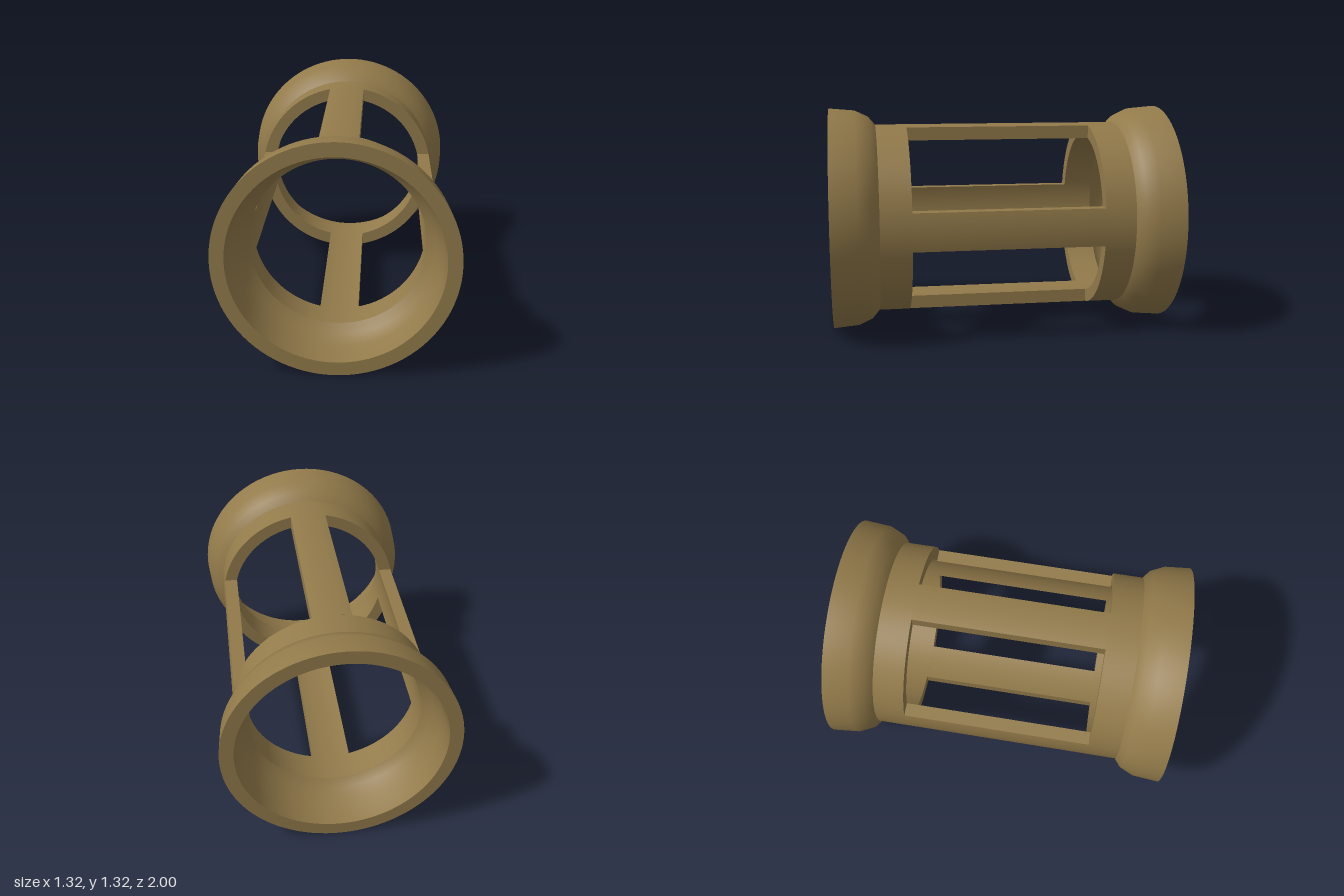
import * as THREE from 'three';
import { mergeGeometries, toCreasedNormals } from 'three/addons/utils/BufferGeometryUtils.js';

const OUTER = 0.56, INNER = 0.485, AXIS_Y = 0.659;
const WINDOW_Z = 0.55, BAR_HALF = 0.11;

// Each run of [radius, z] points is one smooth surface; edges between runs stay sharp.
const COLLAR_RUNS = [
  [[OUTER, WINDOW_Z], [OUTER, 0.73]],                              // outer tube
  [[OUTER, 0.73], [0.608, 0.77], [0.645, 0.85], [0.658, 1]],       // outer flare
  [[0.658, 1], [0.58, 1]],                                         // lip
  [[0.58, 1], [0.568, 0.85], [0.532, 0.77], [INNER, 0.73]],        // inner flare
  [[INNER, 0.73], [INNER, WINDOW_Z]],                              // inner tube
  [[INNER, WINDOW_Z], [OUTER, WINDOW_Z]],                          // window end face
];

function collarGeometry() {
  const runs = COLLAR_RUNS.map(run =>
    new THREE.LatheGeometry(run.map(([r, z]) => new THREE.Vector2(r, z)), 96));
  return mergeGeometries(runs).rotateX(Math.PI / 2);
}

// Parallel-sided strip of the tube wall, at the top of the tube.
function barGeometry() {
  const a = Math.asin(BAR_HALF / OUTER), b = Math.asin(BAR_HALF / INNER), up = Math.PI / 2;
  const shape = new THREE.Shape();
  shape.absarc(0, 0, OUTER, up - a, up + a, false);
  shape.absarc(0, 0, INNER, up + b, up - b, true);
  shape.closePath();
  const geometry = new THREE.ExtrudeGeometry(shape, {
    depth: 2 * WINDOW_Z, bevelEnabled: false, curveSegments: 8,
  });
  return toCreasedNormals(geometry.translate(0, 0, -WINDOW_Z), 0.5);
}

export function createModel() {
  const model = new THREE.Group();
  model.name = 'slottedSleeve';
  const bronze = new THREE.MeshStandardMaterial({ color: 0x927a4a });
  bronze.name = 'bronze';

  const add = (name, geometry) => {
    const mesh = new THREE.Mesh(geometry, bronze);
    mesh.name = name;
    mesh.position.y = AXIS_Y;
    model.add(mesh);
    return mesh;
  };

  // Flared collars at both ends
  const collar = collarGeometry();
  add('frontCollar', collar);
  add('backCollar', collar).rotation.y = Math.PI;

  // Four bars leaving the windows between them
  const bar = barGeometry();
  ['topBar', 'leftBar', 'bottomBar', 'rightBar'].forEach((name, i) => {
    add(name, bar).rotation.z = -i * Math.PI / 2;
  });

  return model;
}
